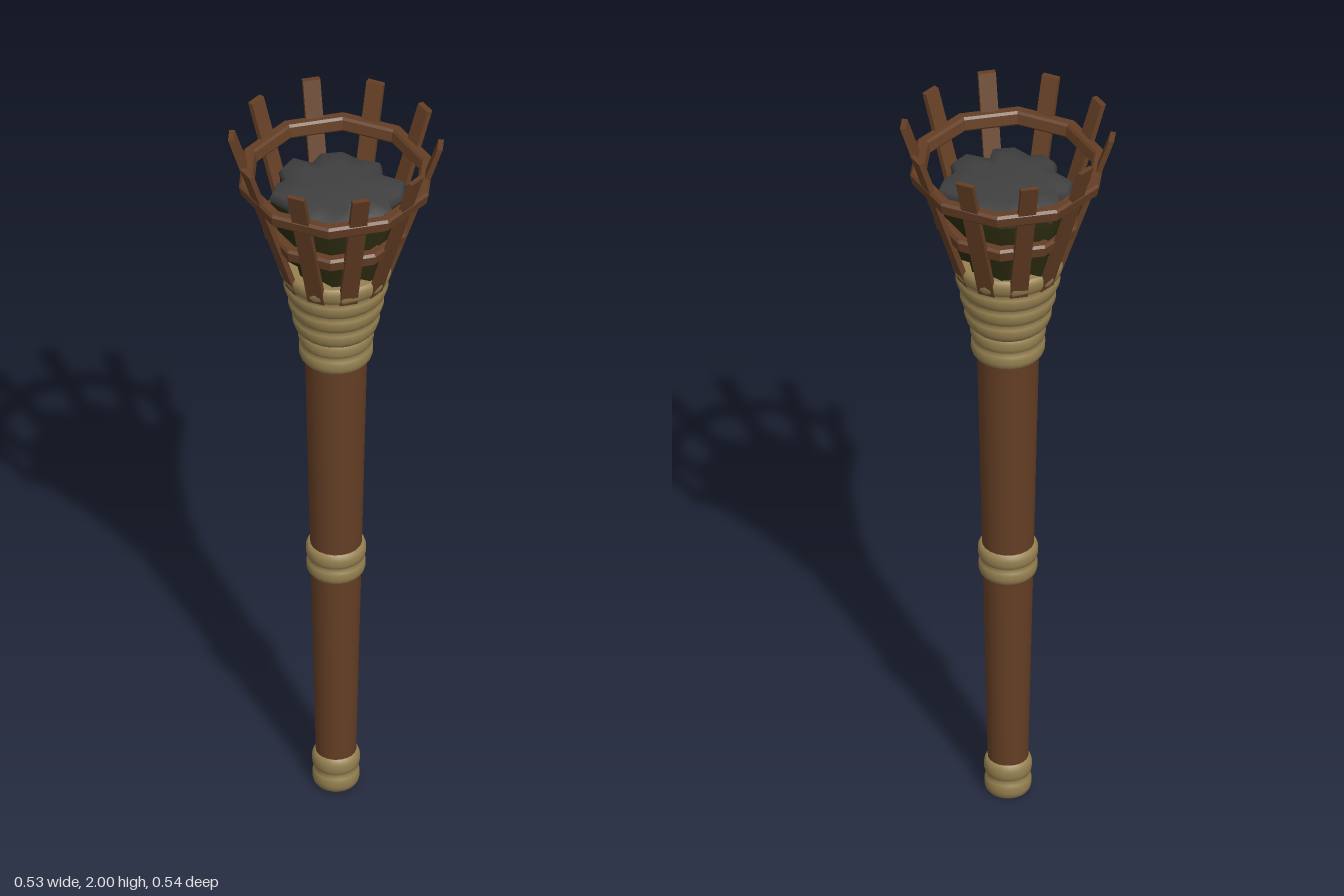
import * as THREE from 'three';

const wood = new THREE.MeshStandardMaterial({ color: 0x643e24 });
const rope = new THREE.MeshStandardMaterial({ color: 0x958050 });
const moss = new THREE.MeshStandardMaterial({ color: 0x2a2a10, side: THREE.DoubleSide });
const coal = new THREE.MeshStandardMaterial({ color: 0x404040, side: THREE.DoubleSide });
wood.name = 'wood'; rope.name = 'rope'; moss.name = 'moss'; coal.name = 'coal';

const V = (x, y) => new THREE.Vector2(x, y);

function add(parent, name, geometry, material) {
  const mesh = new THREE.Mesh(geometry, material);
  mesh.name = name;
  parent.add(mesh);
  return mesh;
}

const flat = (geometry) => {
  const g = geometry.toNonIndexed();
  g.computeVertexNormals();
  return g;
};

// Bound cord: a closed lathe whose side swells once per turn of cord
function wrapGeometry(y0, y1, r0, r1, turns, swell) {
  const points = [V(0, y0), V(r0 - 0.005, y0)];
  const steps = turns * 6;
  for (let i = 0; i <= steps; i++) {
    const t = i / steps;
    const bulge = swell * Math.sqrt(Math.abs(Math.sin(t * turns * Math.PI)));
    points.push(V(r0 + (r1 - r0) * t + bulge, y0 + (y1 - y0) * t));
  }
  points.push(V(r1 - 0.005, y1), V(0, y1));
  return new THREE.LatheGeometry(points, 24);
}

// Ten-sided hoop with chamfered edges, leaning outward with the slats
function hoopGeometry(y, r) {
  const profile = [[-0.017, -0.018], [0.004, -0.02], [0.010, -0.014], [0.016, 0.013],
    [0.010, 0.02], [-0.010, 0.02], [-0.016, 0.014], [-0.021, -0.012], [-0.017, -0.018]];
  return flat(new THREE.LatheGeometry(profile.map(([a, b]) => V(r + a, y + b)), 10, Math.PI / 10));
}

// Uneven outline of the fuel bundle, as x, z
const outline = [[-0.05, -0.165], [0.01, -0.15], [0.06, -0.158], [0.085, -0.11], [0.15, -0.105],
  [0.16, -0.05], [0.145, -0.01], [0.17, 0.025], [0.155, 0.075], [0.09, 0.08], [0.10, 0.125],
  [0.05, 0.155], [0, 0.137], [-0.035, 0.155], [-0.075, 0.135], [-0.09, 0.095], [-0.15, 0.075],
  [-0.155, 0.03], [-0.14, 0.005], [-0.17, -0.035], [-0.16, -0.09], [-0.105, -0.09], [-0.10, -0.135]];

// Skin through scaled copies of the outline; each level is [scale, y]
function bundleGeometry(levels) {
  const positions = [], index = [], n = outline.length;
  levels.forEach(([s, y]) => outline.forEach(([x, z]) => positions.push(x * s, y, z * s)));
  for (let l = 0; l < levels.length - 1; l++) {
    for (let i = 0; i < n; i++) {
      const a = l * n + i, b = l * n + (i + 1) % n;
      index.push(a, a + n, b, b, a + n, b + n);
    }
  }
  const g = new THREE.BufferGeometry();
  g.setAttribute('position', new THREE.Float32BufferAttribute(positions, 3));
  g.setIndex(index);
  g.computeVertexNormals();
  return g;
}

export function createModel() {
  const torch = new THREE.Group();
  torch.name = 'torch';

  // Tapered handle
  const shaft = add(torch, 'shaft', new THREE.CylinderGeometry(0.08, 0.049, 1.4, 20), wood);
  shaft.position.y = 0.705;

  // Cord bindings
  add(torch, 'footBinding', wrapGeometry(0, 0.1, 0.051, 0.053, 2, 0.008), rope);
  add(torch, 'gripBinding', wrapGeometry(0.66, 0.75, 0.066, 0.069, 2, 0.008), rope);
  add(torch, 'collarBinding', wrapGeometry(1.33, 1.425, 0.085, 0.089, 2, 0.008), rope);
  add(torch, 'headBinding', wrapGeometry(1.42, 1.63, 0.094, 0.138, 4, 0.01), rope);

  // Basket of ten splayed slats
  const basket = new THREE.Group();
  basket.name = 'basket';
  torch.add(basket);
  const side = new THREE.Shape([V(0.118, 1.58), V(0.133, 1.58), V(0.27, 2), V(0.256, 2)]);
  const slat = new THREE.ExtrudeGeometry(side, { depth: 0.045, bevelEnabled: false });
  slat.translate(0, 0, -0.0225);
  for (let i = 0; i < 10; i++) {
    add(basket, 'slat', slat, wood).rotation.y = Math.PI / 2 + (i * Math.PI) / 5;
  }
  add(basket, 'lowerHoop', hoopGeometry(1.74, 0.173), wood);
  add(basket, 'upperHoop', hoopGeometry(1.885, 0.235), wood);

  // Fuel bundle with a charred crown
  add(torch, 'fuelBundle', bundleGeometry([[0.7, 1.6], [0.86, 1.7], [0.97, 1.78], [0.98, 1.82]]), moss);
  add(torch, 'charredTop', bundleGeometry([[0.98, 1.815], [1, 1.825], [0.94, 1.843], [0.6, 1.852], [0, 1.855]]), coal);

  return torch;
}
